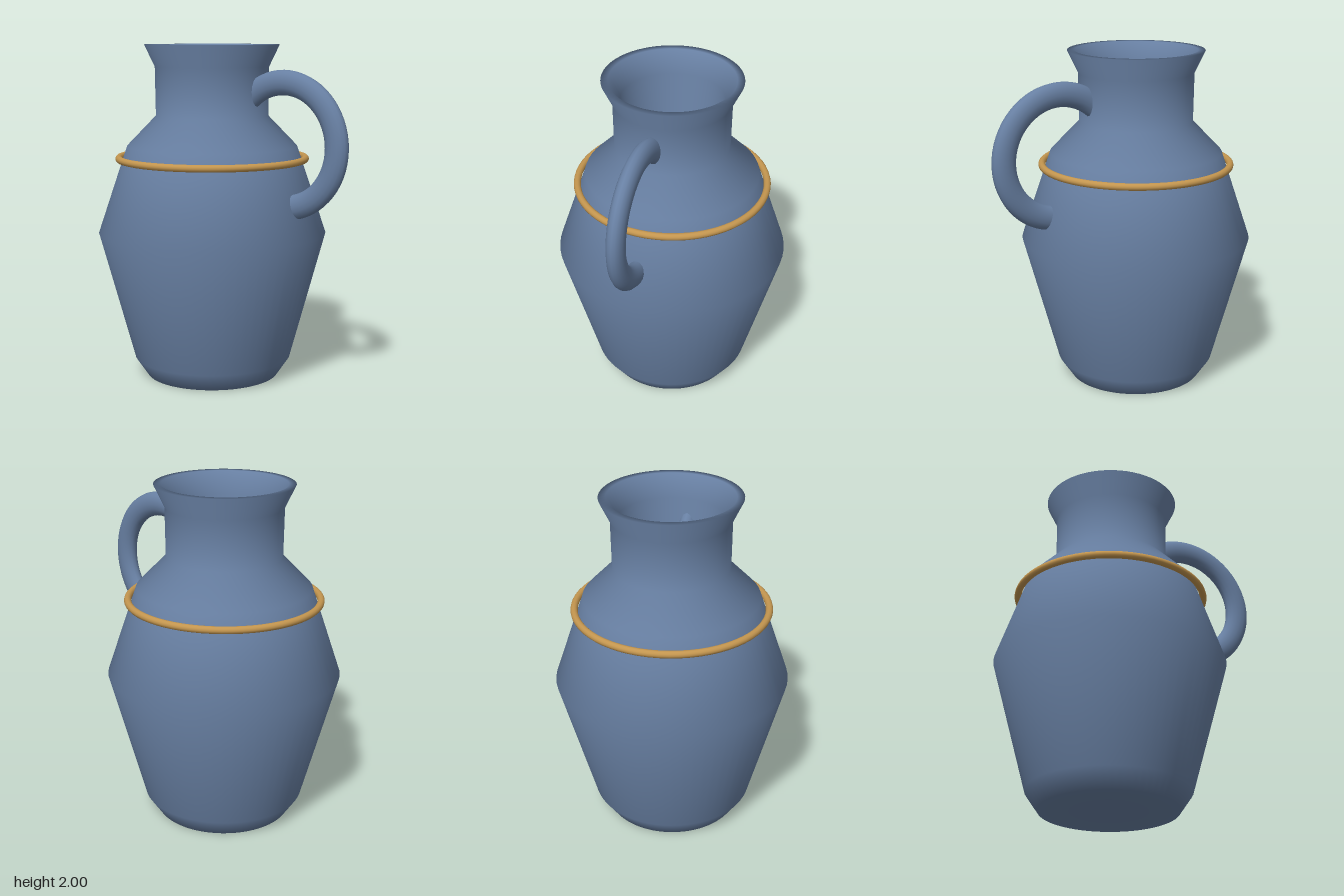
import * as THREE from 'three';

export function createModel() {
  const group = new THREE.Group();
  const glaze = new THREE.MeshStandardMaterial({ name: 'blueGlaze', color: 0x6880a3 });
  const gold = new THREE.MeshStandardMaterial({ name: 'goldBand', color: 0xc4964f });
  const axisX = -0.137;

  const add = (name, geometry, material, x, y) => {
    const mesh = new THREE.Mesh(geometry, material);
    mesh.name = name;
    mesh.position.set(x, y, 0);
    group.add(mesh);
    return mesh;
  };

  // Jug: outer wall from the base up to the lip, then down the hollow inside
  const profile = [
    [0, 0], [0.4, 0], [0.475, 0.11], [0.685, 0.88], [0.51, 1.4],
    [0.336, 1.58], [0.34, 1.87], [0.402, 2],
    [0.36, 2], [0.3, 1.87], [0, 0.1],
  ].map(([r, y]) => new THREE.Vector2(r, y));
  add('jugBody', new THREE.LatheGeometry(profile, 64), glaze, axisX, 0);

  // Band around the shoulder
  const band = new THREE.TorusGeometry(0.56, 0.021, 12, 64).rotateX(Math.PI / 2);
  add('shoulderBand', band, gold, axisX, 1.325);

  // Ring handle, flattened sideways, running into the neck and shoulder
  const handle = new THREE.TorusGeometry(0.358, 0.072, 16, 64).scale(1, 1, 0.7);
  add('handle', handle, glaze, 0.391, 1.431);

  return group;
}
